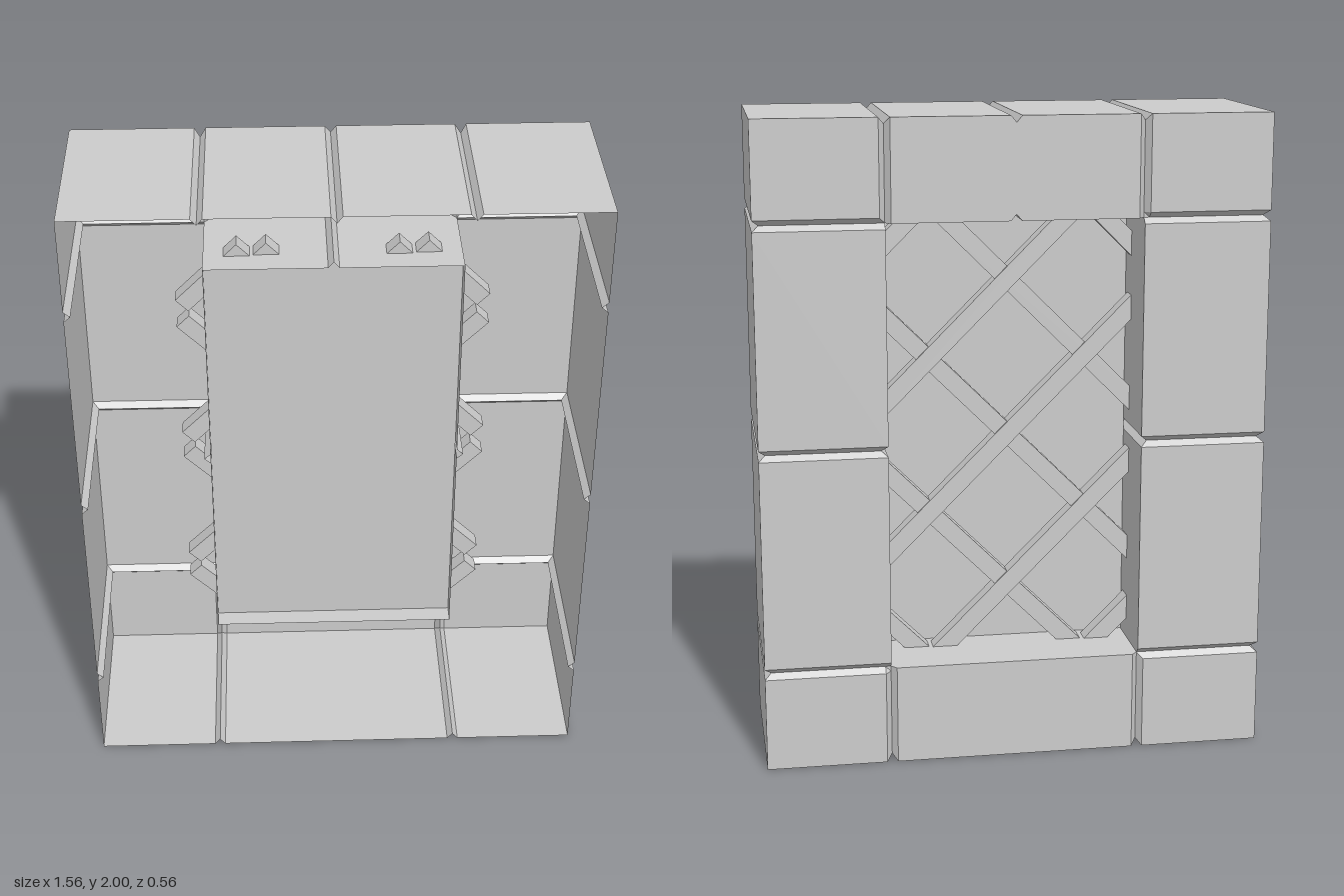
import * as THREE from 'three';

const BACK = -0.28, OUTER_END = 0.28, INNER_END = 0.03; // depths of face and walls
const BEVEL = 0.017, DEPTH = 0.02;                      // joint groove half width and depth

const mat = new THREE.MeshStandardMaterial({ color: 0xcccccc, flatShading: true, side: THREE.DoubleSide });

// Open-fronted stone block. Each edge kind is:
// outer / inner = wall folded to the front, joint / mid = bevelled groove, notch = groove on walls only
function blockGeometry(x0, x1, y0, y1, left, right, bottom, top) {
  const isWall = k => k === 'outer' || k === 'inner';
  const endOf = k => (k === 'outer' ? OUTER_END : INNER_END);
  const steps = (a, b, ka, kb) => [a, isWall(ka) ? a : a + BEVEL, isWall(kb) ? b : b - BEVEL, b];
  const us = steps(x0, x1, left, right), vs = steps(y0, y1, bottom, top);
  // how far a wall sinks at a joint
  const sink = (wall, joint) => !isWall(wall) || (wall === 'inner' && joint === 'joint') ? 0 : DEPTH;

  const positions = [], index = [];
  for (let i = 0; i < 4; i++) for (let j = 0; j < 4; j++) {
    const kx = i === 0 ? left : i === 3 ? right : null;
    const ky = j === 0 ? bottom : j === 3 ? top : null;
    let x = us[i], y = vs[j], z = BACK;
    if (kx && !isWall(kx)) {
      if (kx !== 'notch') z = BACK + DEPTH;
      y += j < 2 ? sink(bottom, kx) : -sink(top, kx);
    }
    if (ky && !isWall(ky)) {
      if (ky !== 'notch') z = BACK + DEPTH;
      x += i < 2 ? sink(left, ky) : -sink(right, ky);
    }
    if (kx && isWall(kx)) z = endOf(kx);
    if (ky && isWall(ky)) z = endOf(ky);
    positions.push(x, y, z);
  }
  for (let i = 0; i < 3; i++) for (let j = 0; j < 3; j++) {
    const kx = [left, null, right][i], ky = [bottom, null, top][j];
    if (kx && ky && isWall(kx) && isWall(ky)) continue; // folded corner has no cell
    const a = i * 4 + j, b = a + 1, c = a + 5, d = a + 4;
    index.push(a, b, c, a, c, d);
  }
  const g = new THREE.BufferGeometry();
  g.setAttribute('position', new THREE.Float32BufferAttribute(positions, 3));
  g.setIndex(index);
  const flat = g.toNonIndexed();
  flat.computeVertexNormals();
  return flat;
}

export function createModel() {
  const model = new THREE.Group();
  const add = (name, geometry, parent = model) => {
    const m = new THREE.Mesh(geometry, mat);
    m.name = name;
    parent.add(m);
    return m;
  };
  const X = 0.78, x = 0.39, yLow = 0.31, yMid = 1, yHigh = 1.69, H = 2;

  // Stone surround
  const frame = new THREE.Group();
  frame.name = 'stoneFrame';
  model.add(frame);
  for (const s of [-1, 1]) {
    const side = s > 0 ? 'left' : 'right';
    // block on one side, given for +x and swapped over for -x
    const put = (name, a, b, y0, y1, inK, outK, bot, top) => add(side + name, s > 0
      ? blockGeometry(a, b, y0, y1, inK, outK, bot, top)
      : blockGeometry(-b, -a, y0, y1, outK, inK, bot, top), frame);
    put('BottomCorner', x, X, 0, yLow, 'joint', 'outer', 'outer', 'joint');
    put('LowerJamb', x, X, yLow, yMid, 'inner', 'outer', 'joint', 'mid');
    put('UpperJamb', x, X, yMid, yHigh, 'inner', 'outer', 'mid', 'joint');
    put('TopCorner', x, X, yHigh, H, 'joint', 'outer', 'joint', 'outer');
    put('Lintel', 0, x, yHigh, H, 'notch', 'joint', 'inner', 'outer');
  }
  add('sill', blockGeometry(-x, x, 0, yLow, 'joint', 'joint', 'outer', 'inner'), frame);

  // Pane set inside the reveal
  add('pane', new THREE.PlaneGeometry(2 * x, yHigh - yLow)).position.set(0, 1, -0.03);

  // Diagonal lattice, its bar ends running into the reveal
  const lattice = new THREE.Group();
  lattice.name = 'lattice';
  model.add(lattice);
  const halfW = 0.46, halfH = 0.71, pitch = 0.49;
  for (const dir of [-1, 1]) for (let k = -2; k <= 2; k++) {
    const c = k * pitch; // bar follows y = x + c about the centre
    const a = Math.max(-halfW, -halfH - c), b = Math.min(halfW, halfH - c);
    const bar = add('latticeBar', new THREE.BoxGeometry((b - a) * Math.SQRT2, 0.055, 0.055), lattice);
    const m = (a + b) / 2;
    bar.position.set(dir * m, 1 + m + c, dir > 0 ? -0.077 : -0.083);
    bar.rotation.z = dir * Math.PI / 4;
  }
  return model;
}
